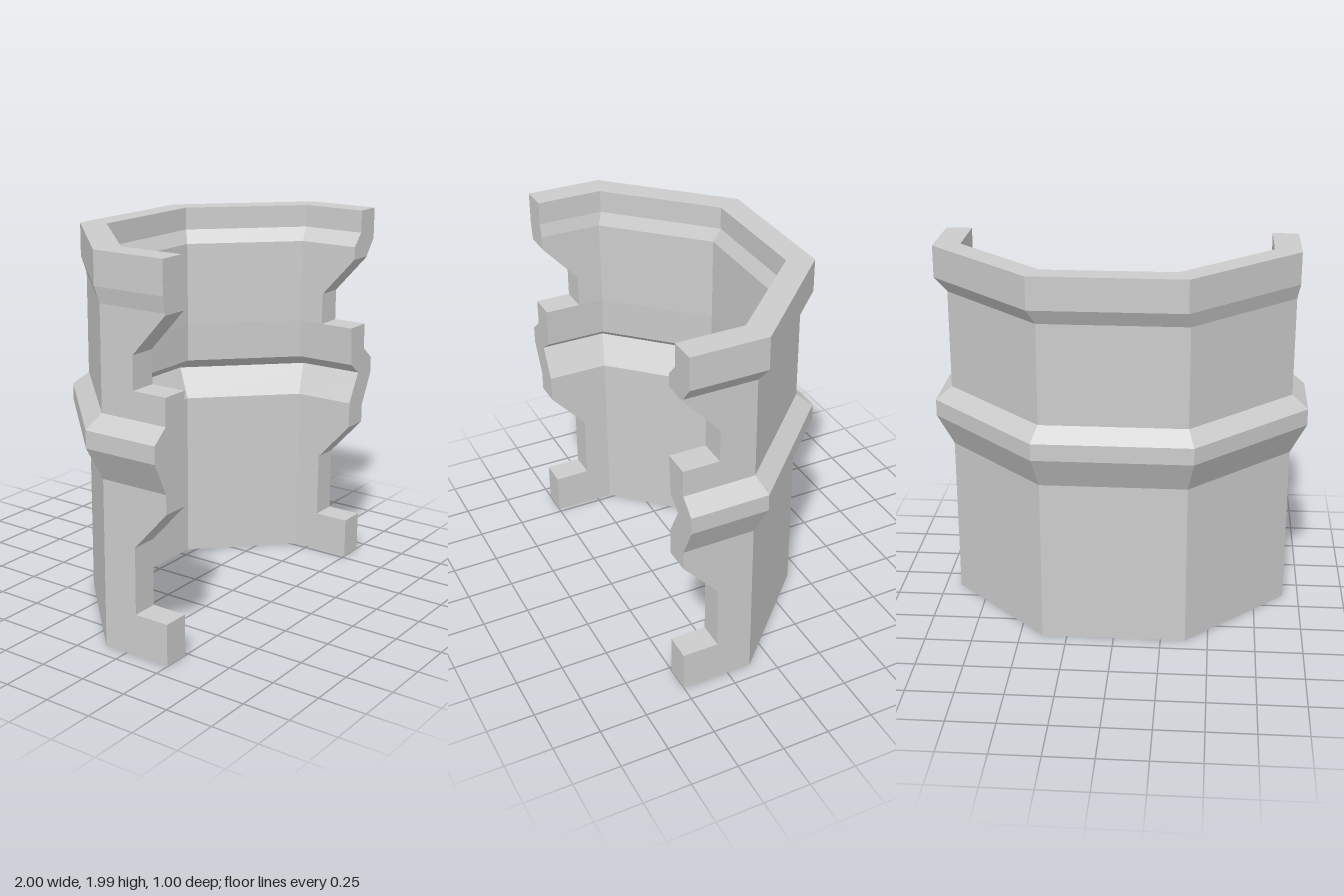
import * as THREE from 'three';

// Wall profiles, bottom to top: [y, sideX, cornerZ, backX, backZ, shiftX]
const OUTER = [
  [0, 0.915, 0.12, 0.38, -0.415, 0],
  [0.88, 0.915, 0.12, 0.38, -0.415, 0],
  [1.05, 1, 0.09, 0.41, -0.5, 0],
  [1.14, 1, 0.09, 0.41, -0.5, 0],
  [1.21, 0.915, 0.12, 0.38, -0.415, 0],
  [1.74, 0.915, 0.12, 0.38, -0.415, 0],
  [1.82, 0.955, 0.1, 0.395, -0.46, 0.025],
  [1.99, 0.955, 0.1, 0.395, -0.46, 0.025],
];
const INNER = [
  [0, 0.773, 0.17, 0.322, -0.29, 0],
  [0.92, 0.773, 0.17, 0.322, -0.29, 0],
  [1.08, 0.86, 0.14, 0.36, -0.37, 0],
  [1.14, 0.78, 0.17, 0.328, -0.29, 0],
  [1.35, 0.768, 0.17, 0.32, -0.285, 0],
  [1.8, 0.775, 0.17, 0.32, -0.29, 0],
  [1.87, 0.815, 0.15, 0.34, -0.33, 0.025],
  [1.99, 0.815, 0.15, 0.34, -0.33, 0.025],
];
// Front edge with two notches: [y, z]; a repeated y makes a square step
const FRONT = [
  [0, 0.5], [0.22, 0.5], [0.22, 0.31], [0.57, 0.31], [0.78, 0.5],
  [1.35, 0.5], [1.35, 0.31], [1.52, 0.31], [1.73, 0.5], [1.99, 0.5],
];

function sample(rows, y) {
  const i = Math.max(1, rows.findIndex((r) => r[0] >= y));
  const a = rows[i - 1], b = rows[i];
  const t = (y - a[0]) / (b[0] - a[0]);
  return a.map((v, k) => v + (b[k] - v) * t);
}

// Half-octagon path from the +x front edge round the back to the -x front edge
function halfRing(rows, y, frontZ) {
  const [, sx, cz, bx, bz, shift] = sample(rows, y);
  const half = [[sx, frontZ], [sx, cz], [bx, bz]];
  const mirrored = half.map(([x, z]) => [-x, z]).reverse();
  return [...half, ...mirrored].map(([x, z]) => new THREE.Vector3(x + shift, y, z));
}

function buildShell() {
  // All heights where a profile bends, plus the notch corners
  const levels = FRONT.map(([y, z]) => [y, z]);
  for (const [y] of [...OUTER, ...INNER]) {
    if (!levels.some((l) => l[0] === y)) levels.push([y, sample(FRONT, y)[1]]);
  }
  levels.sort((a, b) => a[0] - b[0]);
  const rings = levels.map(([y, z]) => [
    ...halfRing(OUTER, y, z),
    ...halfRing(INNER, y, z).reverse(),
  ]);

  const pos = [];
  const tri = (a, b, c) => {
    const n = b.clone().sub(a).cross(c.clone().sub(a));
    if (n.length() > 1e-8) pos.push(...a, ...b, ...c);
  };
  const quad = (a, b, c, d) => { tri(a, b, c); tri(a, c, d); };

  // Walls, inside and out, with the front edges
  for (let r = 0; r < rings.length - 1; r++) {
    const lo = rings[r], hi = rings[r + 1];
    for (let i = 0; i < 12; i++) {
      const j = (i + 1) % 12;
      quad(lo[i], lo[j], hi[j], hi[i]);
    }
  }
  // Top and bottom rims
  const top = rings[rings.length - 1], base = rings[0];
  for (let i = 0; i < 5; i++) {
    quad(top[i], top[i + 1], top[10 - i], top[11 - i]);
    quad(base[11 - i], base[10 - i], base[i + 1], base[i]);
  }

  const geo = new THREE.BufferGeometry();
  geo.setAttribute('position', new THREE.Float32BufferAttribute(pos, 3));
  geo.computeVertexNormals();
  return geo;
}

export function createModel() {
  const group = new THREE.Group();
  group.name = 'halfOctagonShell';
  const material = new THREE.MeshStandardMaterial({ color: 0xcccccc, flatShading: true });
  const shell = new THREE.Mesh(buildShell(), material);
  shell.name = 'notchedShellWall';
  group.add(shell);
  return group;
}
